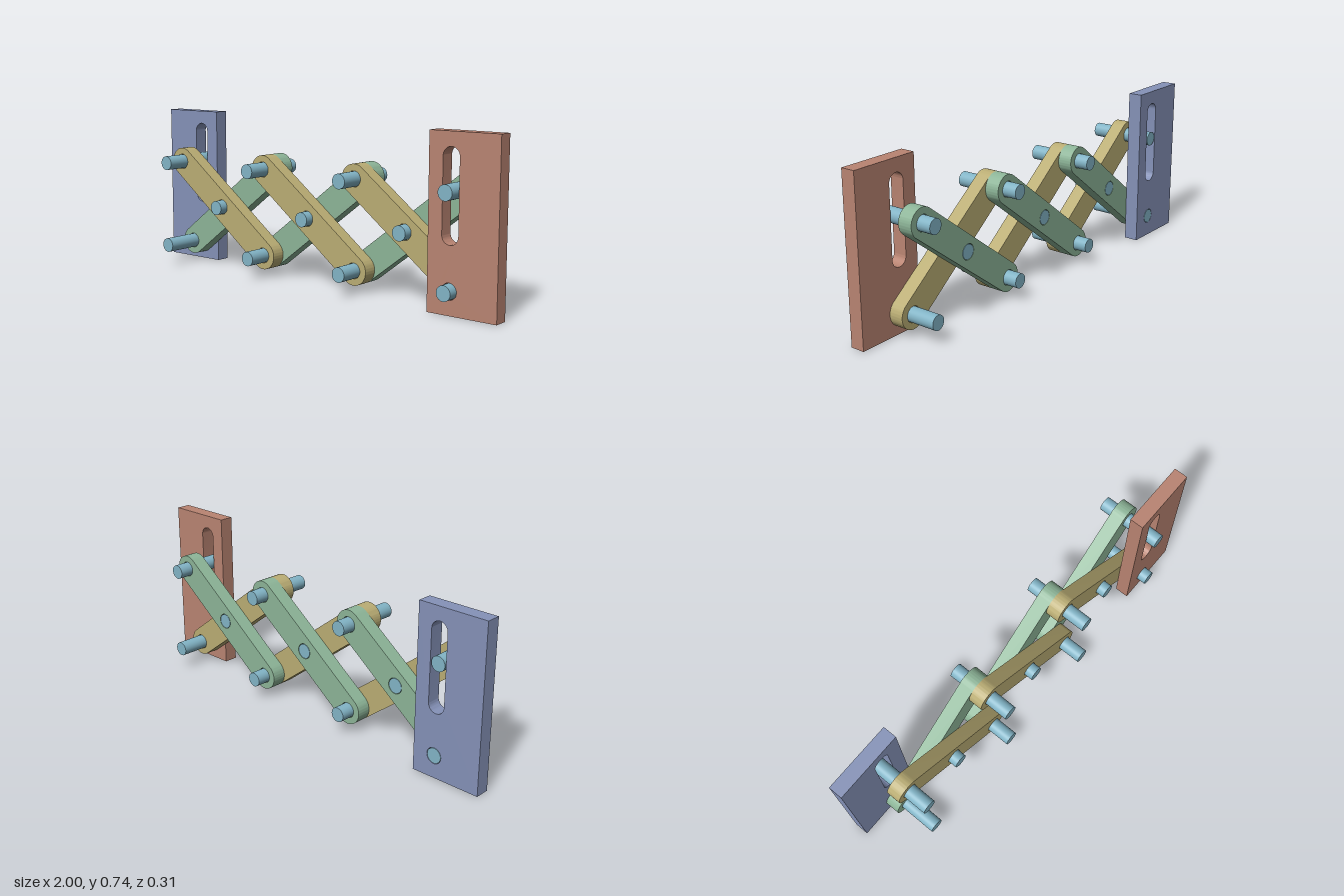
import * as THREE from 'three';
import { toCreasedNormals } from 'three/addons/utils/BufferGeometryUtils.js';

const PIN_R = 0.033, HOLE_R = 0.035, BAR_R = 0.065;
const X_STEP = 0.522, Y_LOW = 0.099, Y_HIGH = 0.498, Y_MID = (Y_LOW + Y_HIGH) / 2;
const X_END = 1.5 * X_STEP;
// layer boundaries in z, back to front
const Z = [-0.153, -0.088, -0.021, 0.045, 0.11, 0.153];

const material = color => new THREE.MeshStandardMaterial({ color });

function circleHole(x, y) {
  return new THREE.Path().absarc(x, y, HOLE_R, 0, Math.PI * 2, true);
}

// Stadium outline along the local x axis
function stadium(PathType, half, r) {
  const p = new PathType();
  p.absarc(half, 0, r, -Math.PI / 2, Math.PI / 2, false);
  p.absarc(-half, 0, r, Math.PI / 2, Math.PI * 1.5, false);
  p.closePath();
  return p;
}

function slab(shape, z0, z1) {
  const g = new THREE.ExtrudeGeometry(shape, { depth: z1 - z0, bevelEnabled: false, curveSegments: 24 });
  return toCreasedNormals(g.translate(0, 0, z0), 0.6);
}

// End plate with a round hole below and a vertical slot above
function plateGeometry(side, z0, z1) {
  const inner = side * 0.68, outer = side, x = side * X_END, r = 0.038;
  const left = Math.min(inner, outer), right = Math.max(inner, outer);
  const s = new THREE.Shape([
    new THREE.Vector2(left, 0), new THREE.Vector2(right, 0),
    new THREE.Vector2(right, 0.735), new THREE.Vector2(left, 0.735),
  ]);
  const slot = new THREE.Path();
  slot.absarc(x, 0.637, r, 0, Math.PI, false);
  slot.absarc(x, 0.323, r, Math.PI, Math.PI * 2, false);
  slot.closePath();
  s.holes.push(slot, circleHole(x, Y_LOW));
  return slab(s, z0, z1);
}

export function createModel() {
  const model = new THREE.Group();
  model.name = 'scissorLinkage';
  const tan = material(0xbaad74), green = material(0x8db598);
  const blue = material(0x8592b8), red = material(0xb98472), steel = material(0x82b4c6);

  const add = (name, geometry, mat) => {
    const mesh = new THREE.Mesh(geometry, mat);
    mesh.name = name;
    model.add(mesh);
    return mesh;
  };
  const pin = (name, x, y, z0, z1) => {
    const g = new THREE.CylinderGeometry(PIN_R, PIN_R, z1 - z0, 40).rotateX(Math.PI / 2);
    add(name, g, steel).position.set(x, y, (z0 + z1) / 2);
  };

  // End plates
  add('rearPlate', plateGeometry(-1, Z[0], Z[1]), blue);
  add('frontPlate', plateGeometry(1, Z[3], Z[4]), red);

  // Crossing bars and their centre pivots
  const rise = Y_HIGH - Y_LOW;
  const half = Math.hypot(X_STEP, rise) / 2, angle = Math.atan2(rise, X_STEP);
  const bar = stadium(THREE.Shape, half, BAR_R);
  for (const x of [-half, 0, half]) bar.holes.push(circleHole(x, 0));
  const rearBar = slab(bar, Z[1], Z[2]), frontBar = slab(bar, Z[2], Z[3]);
  for (let i = -1; i <= 1; i++) {
    const x = i * X_STEP;
    for (const [name, g, mat, a] of [['rearBar', rearBar, green, angle], ['frontBar', frontBar, tan, -angle]]) {
      const m = add(name, g, mat);
      m.position.set(x, Y_MID, 0);
      m.rotation.z = a;
    }
    pin('centrePin', x, Y_MID, Z[1], 0.085);
  }

  // Long pins joining the bar ends
  for (let i = 0; i < 4; i++)
    for (const y of [Y_LOW, Y_HIGH]) pin('endPin', -X_END + i * X_STEP, y, Z[0], Z[5]);

  return model;
}
